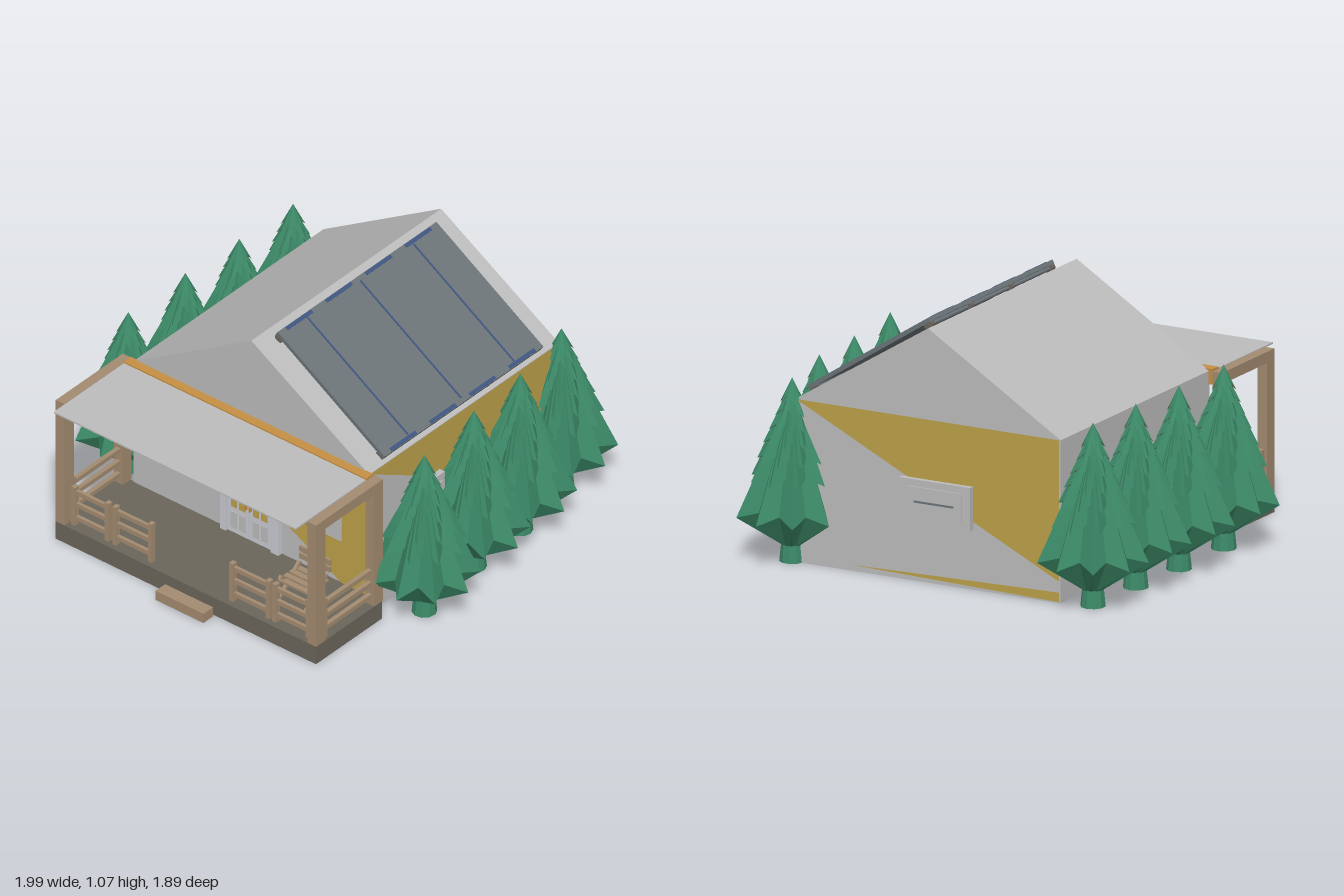
import * as THREE from 'three';

const mat = (name, color, extra = {}) => {
  const m = new THREE.MeshStandardMaterial({ color, ...extra });
  m.name = name;
  return m;
};

// Star-rimmed cone: apex above, jagged rim, closed underneath by a small ring
function starCone(r, rimY, topY, botR, botY, n, turn, inner, lift) {
  const rim = [], ring = [], pos = [], N = n * 2;
  for (let i = 0; i < N; i++) {
    const a = (i / N) * Math.PI * 2 + turn, k = i % 2 ? inner : 1;
    rim.push([Math.cos(a) * r * k, rimY + (i % 2 ? lift : 0), Math.sin(a) * r * k]);
    ring.push([Math.cos(a) * botR, botY, Math.sin(a) * botR]);
  }
  for (let i = 0; i < N; i++) pos.push(0, topY, 0, ...rim[(i + 1) % N], ...rim[i]);
  for (let i = 0; i < N; i++) {
    const j = (i + 1) % N;
    pos.push(...rim[i], ...rim[j], ...ring[j], ...rim[i], ...ring[j], ...ring[i]);
  }
  const g = new THREE.BufferGeometry();
  g.setAttribute('position', new THREE.Float32BufferAttribute(pos, 3));
  g.addGroup(0, N * 3, 0);
  g.addGroup(N * 3, N * 6, 1);
  g.computeVertexNormals();
  return g;
}

export function createModel() {
  const root = new THREE.Group();
  root.name = 'cabin';
  const grey = mat('wall grey', 0xbcbcbc);
  const yellow = mat('ochre paint', 0xbca14a, { side: THREE.DoubleSide });
  const wood = mat('tan wood', 0xa38b70);
  const deck = mat('dark deck', 0x6b655b);
  const orange = mat('orange beam', 0xc58f42);
  const green = mat('pine green', 0x3c8a68);
  const bark = mat('bark brown', 0x8f7058);
  const panelGrey = mat('panel grey', 0x6b7478);
  const blue = mat('panel blue', 0x3f5580);
  const white = mat('door white', 0xc9ccd2);

  const add = (parent, name, geo, m) => {
    const mesh = new THREE.Mesh(geo, m);
    mesh.name = name;
    parent.add(mesh);
    return mesh;
  };
  const group = (name, parent = root) => {
    const g = new THREE.Group();
    g.name = name;
    parent.add(g);
    return g;
  };
  const box = (parent, name, m, x0, x1, y0, y1, z0, z1) => {
    const b = add(parent, name, new THREE.BoxGeometry(x1 - x0, y1 - y0, z1 - z0), m);
    b.position.set((x0 + x1) / 2, (y0 + y1) / 2, (z0 + z1) / 2);
    return b;
  };
  const shape = pts => new THREE.Shape(pts.map(p => new THREE.Vector2(...p)));

  // House body with gable roof
  const body = add(root, 'houseBody', new THREE.ExtrudeGeometry(
    shape([[-0.615, 0], [0.615, 0], [0.615, 0.68], [0, 1.06], [-0.615, 0.68]]),
    { depth: 1.19, bevelEnabled: false }), grey);
  body.position.z = -0.73;

  // Ochre areas of the walls
  const paint = (name, pts, x, z, ry) => {
    const p = add(root, name, new THREE.ShapeGeometry(shape(pts)), yellow);
    p.position.set(x, 0, z);
    p.rotation.y = ry;
  };
  paint('frontPaint', [[-0.61, 0.68], [0.61, 0.01], [0.61, 0.68]], 0, 0.463, 0);
  paint('sidePaint', [[-0.455, 0.68], [0.73, 0.01], [0.73, 0.68]], 0.618, 0, Math.PI / 2);
  paint('backPaint', [[-0.61, 0.68], [0.61, 0.09], [0.61, 0.68]], 0, -0.733, Math.PI);
  paint('backPaintSliver', [[-0.36, 0.025], [0.61, 0.005], [0.61, 0.045]], 0, -0.733, Math.PI);

  // Porch deck, step, posts and roof
  const porch = group('porch');
  box(porch, 'deck', deck, -0.68, 0.68, 0, 0.085, 0.455, 0.87);
  box(porch, 'step', wood, -0.1, 0.15, 0, 0.045, 0.88, 0.94);
  for (const s of [-1, 1]) {
    const a = s < 0 ? -0.68 : 0.635, b = a + 0.045;
    box(porch, 'frontPost', wood, a, b, 0.085, 0.635, 0.81, 0.87);
    box(porch, 'rearPost', wood, a, b, 0.085, 0.635, 0.45, 0.505);
    box(porch, 'sideBeam', wood, a, b, 0.635, 0.682, 0.45, 0.87);
    for (const y of [0.13, 0.19, 0.25])
      box(porch, 'sideRail', wood, s * 0.657 - 0.01, s * 0.657 + 0.01, y - 0.01, y + 0.01, 0.5, 0.82);
    box(porch, 'sideRailPost', wood, s * 0.657 - 0.012, s * 0.657 + 0.012, 0.085, 0.275, 0.785, 0.81);
  }
  box(porch, 'porchRoof', grey, -0.632, 0.632, 0.677, 0.684, 0.46, 0.94);
  box(porch, 'orangeBeam', orange, -0.634, 0.634, 0.625, 0.69, 0.455, 0.5);
  box(porch, 'frontBeam', wood, -0.635, 0.635, 0.662, 0.677, 0.83, 0.87);

  // Front railing sections
  for (const [a, b] of [[-0.62, -0.425], [-0.405, -0.2], [0.205, 0.415], [0.43, 0.625]]) {
    const rail = group('railing');
    for (const x of [a, b - 0.02]) box(rail, 'railPost', wood, x, x + 0.02, 0.085, 0.27, 0.82, 0.845);
    for (const y of [0.12, 0.185, 0.245])
      box(rail, 'rail', wood, a, b, y - 0.01, y + 0.01, 0.825, 0.84);
  }

  // Porch chair with crossed legs
  const chair = group('porchChair');
  chair.position.set(0.43, 0.085, 0.65);
  for (const x of [-0.07, 0.07]) for (const s of [-1, 1]) {
    const leg = box(chair, 'leg', wood, x - 0.007, x + 0.007, -0.09, 0.09, -0.007, 0.007);
    leg.position.set(x + s * 0.005, 0.06, 0);
    leg.rotation.x = s * 0.85;
  }
  for (let i = 0; i < 4; i++)
    box(chair, 'seatSlat', wood, -0.08, 0.08, 0.09, 0.1, -0.065 + i * 0.035, -0.04 + i * 0.035);
  for (const y of [0.13, 0.165]) box(chair, 'backSlat', wood, -0.08, 0.08, y, y + 0.025, -0.08, -0.07);

  // Double door with transom and panes
  const door = group('door');
  box(door, 'doorFrame', white, -0.14, 0.155, 0.085, 0.545, 0.46, 0.47);
  box(door, 'lintel', blue, -0.145, 0.16, 0.545, 0.552, 0.46, 0.485);
  for (const [a, b] of [[-0.145, -0.115], [0.12, 0.16]])
    box(door, 'jamb', white, a, b, 0.085, 0.545, 0.46, 0.483);
  for (let i = 0; i < 5; i++)
    box(door, 'transomPane', yellow, -0.105 + i * 0.044, -0.07 + i * 0.044, 0.475, 0.525, 0.468, 0.474);
  box(door, 'transomBar', white, -0.115, 0.12, 0.455, 0.468, 0.46, 0.482);
  for (const x of [-0.055, 0.06]) {
    box(door, 'leaf', white, x - 0.053, x + 0.053, 0.09, 0.452, 0.46, 0.476);
    for (const dx of [-0.022, 0.022]) {
      for (let r = 0; r < 4; r++)
        box(door, 'pane', yellow, x + dx - 0.015, x + dx + 0.015, 0.215 + r * 0.058, 0.26 + r * 0.058, 0.472, 0.478);
      box(door, 'lowerPanel', grey, x + dx - 0.015, x + dx + 0.015, 0.115, 0.19, 0.472, 0.479);
    }
    box(door, 'handle', orange, x * 0.2 - 0.004, x * 0.2 + 0.004, 0.235, 0.275, 0.475, 0.488);
  }

  // Windows: boxed frame with a raised sash, facing +z before turning
  const win = (x, y, z, w, h, d, ry) => {
    const g = group('window');
    box(g, 'frame', grey, -w / 2, w / 2, -h / 2, h / 2, -0.01, d);
    if (d > 0.02) {
      box(g, 'sash', grey, -w * 0.38, w * 0.38, -h * 0.34, h * 0.34, d, d + 0.006);
      box(g, 'sashBar', panelGrey, -w * 0.28, w * 0.28, -0.004, 0.004, d + 0.005, d + 0.009);
    }
    g.position.set(x, y, z);
    g.rotation.y = ry;
  };
  win(-0.4, 0.415, 0.463, 0.2, 0.245, 0.006, 0);
  win(0.377, 0.415, 0.463, 0.2, 0.245, 0.006, 0);
  win(-0.045, 0.34, -0.73, 0.33, 0.18, 0.026, Math.PI);
  for (const s of [-1, 1]) for (const z of [0.1, -0.42])
    win(s * 0.615, 0.37, z, 0.16, 0.2, 0.03, s * Math.PI / 2);

  // Solar array lying parallel to the right roof slope
  const solar = group('solarArray');
  const len = Math.hypot(0.56, 0.36);
  solar.position.set(0.33, 0.886, -0.137);
  solar.rotation.z = -Math.atan2(0.36, 0.56);
  box(solar, 'panel', panelGrey, -len / 2, len / 2, -0.009, 0.009, -0.497, 0.497);
  for (const z of [-0.332, 0, 0.332])
    box(solar, 'seam', blue, -len / 2 + 0.02, len / 2 - 0.02, 0.006, 0.011, z - 0.004, z + 0.004);
  for (const s of [-1, 1]) {
    for (let i = 0; i < 4; i++) {
      const z = -0.372 + i * 0.248;
      box(solar, 'edgeMark', blue, s * (len / 2 - 0.01) - 0.008, s * (len / 2 - 0.01) + 0.008, 0.006, 0.011, z - 0.08, z + 0.08);
    }
    const tube = add(solar, 'mountTube', new THREE.CylinderGeometry(0.009, 0.009, 0.98, 8), panelGrey);
    tube.rotation.x = Math.PI / 2;
    tube.position.set(s * (len / 2 - 0.02), -0.018, 0);
    for (const z of [-0.483, -0.17, 0.157, 0.483]) {
      const clamp = add(solar, 'mountClamp', new THREE.CylinderGeometry(0.02, 0.02, 0.025, 10), deck);
      clamp.rotation.x = Math.PI / 2;
      clamp.position.set(s * (len / 2 - 0.02), -0.016, z);
    }
  }

  // Pine trees along both sides
  const tiers = [0.34, 0.42, 0.49, 0.55, 0.61, 0.66];
  const pine = (x, z, turn) => {
    const t = group('pineTree');
    t.position.set(x, 0, z);
    t.rotation.y = turn;
    const trunk = add(t, 'trunk', new THREE.CylinderGeometry(0.042, 0.052, 0.1, 10).toNonIndexed(), green);
    trunk.geometry.computeVertexNormals();
    trunk.position.y = 0.05;
    add(t, 'lowerBoughs', starCone(0.228, 0.19, 0.7, 0.042, 0.07, 9, 0, 0.68, 0.03), [green, green]);
    tiers.forEach((y, i) => {
      const r = (0.79 - y) * 0.39;
      add(t, 'boughTier', starCone(r, y, i === 5 ? 0.765 : y + (0.765 - y) * 0.88,
        0.01, y + 0.04, 9, (i + 1) * 0.55, 0.66, 0.03), [green, bark]);
    });
  };
  [[-0.745, -0.695], [-0.755, -0.37], [-0.77, -0.05], [-0.772, 0.305],
    [0.635, -0.722], [0.71, -0.375], [0.73, -0.06], [0.775, 0.305]]
    .forEach(([x, z], i) => pine(x, z, i * 0.7));

  return root;
}
